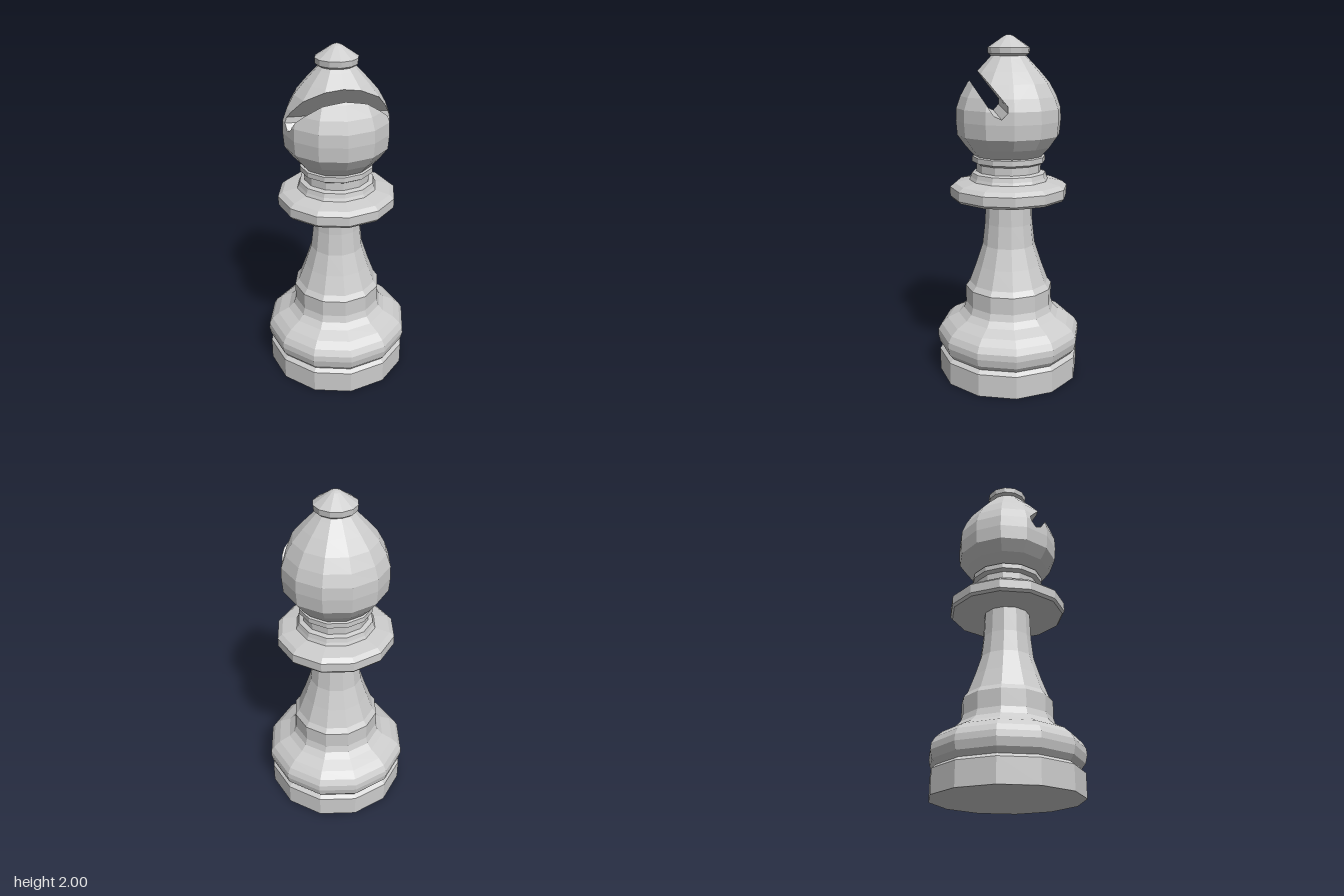
import * as THREE from 'three';

const SIDES = 12;
const material = new THREE.MeshStandardMaterial({ color: 0xcccccc, flatShading: true, side: THREE.DoubleSide });

// Turned part from [radius, height] pairs, bottom to top
function turn(profile) {
  return new THREE.LatheGeometry(profile.map(([r, y]) => new THREE.Vector2(r, y)), SIDES).toNonIndexed();
}

function addPart(group, name, geometry) {
  geometry.deleteAttribute('normal');
  geometry.computeVertexNormals();
  const mesh = new THREE.Mesh(geometry, material);
  mesh.name = name;
  group.add(mesh);
}

// Splits a convex polygon by a plane into the parts behind and in front of it
function split(poly, plane) {
  const inside = [], outside = [];
  poly.forEach((p, i) => {
    const q = poly[(i + 1) % poly.length];
    const a = plane.distanceToPoint(p), b = plane.distanceToPoint(q);
    if (a <= 0) inside.push(p);
    if (a >= 0) outside.push(p);
    if (a * b < 0) {
      const cut = p.clone().lerp(q, a / (a - b));
      inside.push(cut);
      outside.push(cut);
    }
  });
  return { inside, outside };
}

// Cuts a convex groove, given as an open [z, y] outline, through a convex solid along x
function cutGroove(geometry, outline, [cz, cy]) {
  const centre = new THREE.Vector3(0, cy, cz);
  const planes = outline.slice(1).map(([z, y], i) => {
    const [z0, y0] = outline[i];
    const normal = new THREE.Vector3(0, z - z0, y0 - y).normalize();
    const plane = new THREE.Plane().setFromNormalAndCoplanarPoint(normal, new THREE.Vector3(0, y, z));
    return plane.distanceToPoint(centre) > 0 ? plane.negate() : plane;
  });
  const out = [];
  const fan = (poly) => {
    for (let i = 1; i < poly.length - 1; i++) {
      for (const p of [poly[0], poly[i], poly[i + 1]]) out.push(p.x, p.y, p.z);
    }
  };
  const rims = planes.map(() => []);
  const pos = geometry.attributes.position;
  for (let t = 0; t < pos.count; t += 3) {
    let rest = [0, 1, 2].map((k) => new THREE.Vector3().fromBufferAttribute(pos, t + k));
    for (const plane of planes) {
      const { inside, outside } = split(rest, plane);
      fan(outside);
      rest = inside;
      if (rest.length < 3) break;
    }
    if (rest.length < 3) continue;
    planes.forEach((plane, i) => {
      rims[i].push(...rest.filter((p) => Math.abs(plane.distanceToPoint(p)) < 1e-6));
    });
  }
  // Groove walls: rim points of each plane sorted around their middle
  rims.forEach((rim, i) => {
    if (rim.length < 3) return;
    const mid = rim.reduce((s, p) => s.add(p), new THREE.Vector3()).divideScalar(rim.length);
    const u = new THREE.Vector3(1, 0, 0);
    const v = planes[i].normal.clone().negate().cross(u);
    const angle = (p) => {
      const d = p.clone().sub(mid);
      return Math.atan2(d.dot(v), d.dot(u));
    };
    rim.sort((a, b) => angle(a) - angle(b));
    fan(rim.filter((p, k) => k === 0 || p.distanceTo(rim[k - 1]) > 1e-5));
  });
  const result = new THREE.BufferGeometry();
  result.setAttribute('position', new THREE.Float32BufferAttribute(out, 3));
  return result;
}

export function createModel() {
  const group = new THREE.Group();
  group.name = 'bishop';

  // Plinth and bulging foot
  addPart(group, 'plinth', turn([[0, 0], [0.423, 0], [0.423, 0.135], [0.4, 0.155]]));
  addPart(group, 'foot', turn([
    [0.4, 0.155], [0.423, 0.185], [0.433, 0.23], [0.43, 0.265], [0.41, 0.3],
    [0.37, 0.335], [0.305, 0.368], [0.272, 0.4], [0.259, 0.44], [0.259, 0.54],
  ]));

  // Tapering stem
  addPart(group, 'stem', turn([
    [0.259, 0.54], [0.236, 0.57], [0.195, 0.68], [0.156, 0.8], [0.141, 0.93], [0.135, 1.085],
  ]));

  // Collar and neck rings
  addPart(group, 'collar', turn([
    [0.135, 1.08], [0.33, 1.08], [0.342, 1.095], [0.342, 1.148], [0.315, 1.17], [0.23, 1.188],
  ]));
  addPart(group, 'neck', turn([
    [0.23, 1.188], [0.222, 1.205], [0.215, 1.23], [0.188, 1.238], [0.188, 1.282],
    [0.212, 1.295], [0.212, 1.325], [0.2, 1.33],
  ]));

  // Head with the slanted groove
  const head = turn([
    [0.2, 1.33], [0.25, 1.385], [0.295, 1.448], [0.302, 1.53], [0.299, 1.6],
    [0.275, 1.667], [0.234, 1.74], [0.178, 1.805], [0.116, 1.87], [0.1, 1.888],
  ]);
  const groove = [[0.223, 1.755], [0.106, 1.578], [0.066, 1.56], [0.034, 1.595], [0.032, 1.627], [0.175, 1.803]];
  addPart(group, 'head', cutGroove(head, groove, [0.1, 1.63]));

  // Small knob on top
  addPart(group, 'finial', turn([
    [0.1, 1.888], [0.117, 1.9], [0.12, 1.932], [0.03, 1.993], [0.014, 2], [0, 2],
  ]));

  return group;
}
